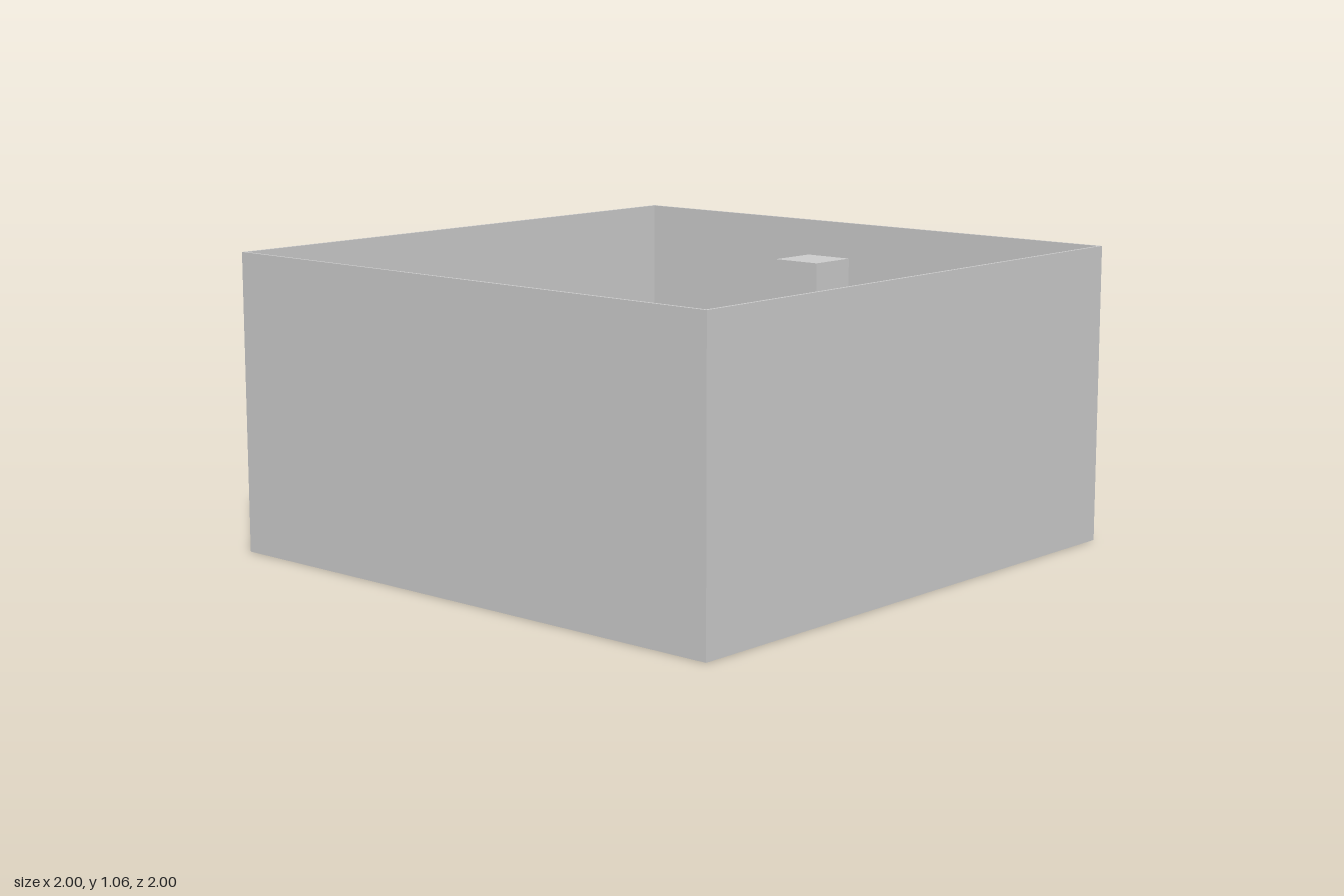
import * as THREE from 'three';

export function createModel() {
  const model = new THREE.Group();
  const material = new THREE.MeshStandardMaterial({ color: 0xcccccc, flatShading: true });

  const add = (name, geometry, x, y, z, parent = model) => {
    const mesh = new THREE.Mesh(geometry, material);
    mesh.name = name;
    mesh.position.set(x, y, z);
    parent.add(mesh);
    return mesh;
  };

  // Open-topped room with thin floor and walls
  const t = 0.01;
  const room = new THREE.Group();
  room.name = 'room';
  model.add(room);
  add('floor', new THREE.BoxGeometry(2, t, 2), 0, t / 2, 0, room);
  for (const s of [-1, 1]) {
    const offset = s * (1 - t / 2);
    add(s > 0 ? 'frontWall' : 'backWall',
      new THREE.BoxGeometry(2, 1 - t, t), 0, (1 + t) / 2, offset, room);
    add(s > 0 ? 'leftWall' : 'rightWall',
      new THREE.BoxGeometry(t, 1 - t, 2 - 2 * t), offset, (1 + t) / 2, 0, room);
  }

  // Square blocks: name, width, x, z, bottom, top
  const blocks = [
    ['tallPillar', 0.154, -0.325, 0.83, 0.3, 1.065],
    ['middlePillar', 0.154, 0.03, 0.83, 0.117, 0.883],
    ['shortPillar', 0.154, 0.337, 0.83, 0.307, 0.69],
    ['largeCube', 0.154, 0.337, 0.325, 0.423, 0.577],
    ['centreCube', 0.1, 0, 0, 0.433, 0.533],
    ['lowCube', 0.1, 0.09, 0.347, 0.181, 0.281],
  ];
  for (const [name, width, x, z, bottom, top] of blocks) {
    add(name, new THREE.BoxGeometry(width, top - bottom, width), x, (bottom + top) / 2, z);
  }

  // Floating ball
  add('ball', new THREE.SphereGeometry(0.111, 32, 16), -0.443, 0.493, -0.257);

  return model;
}
